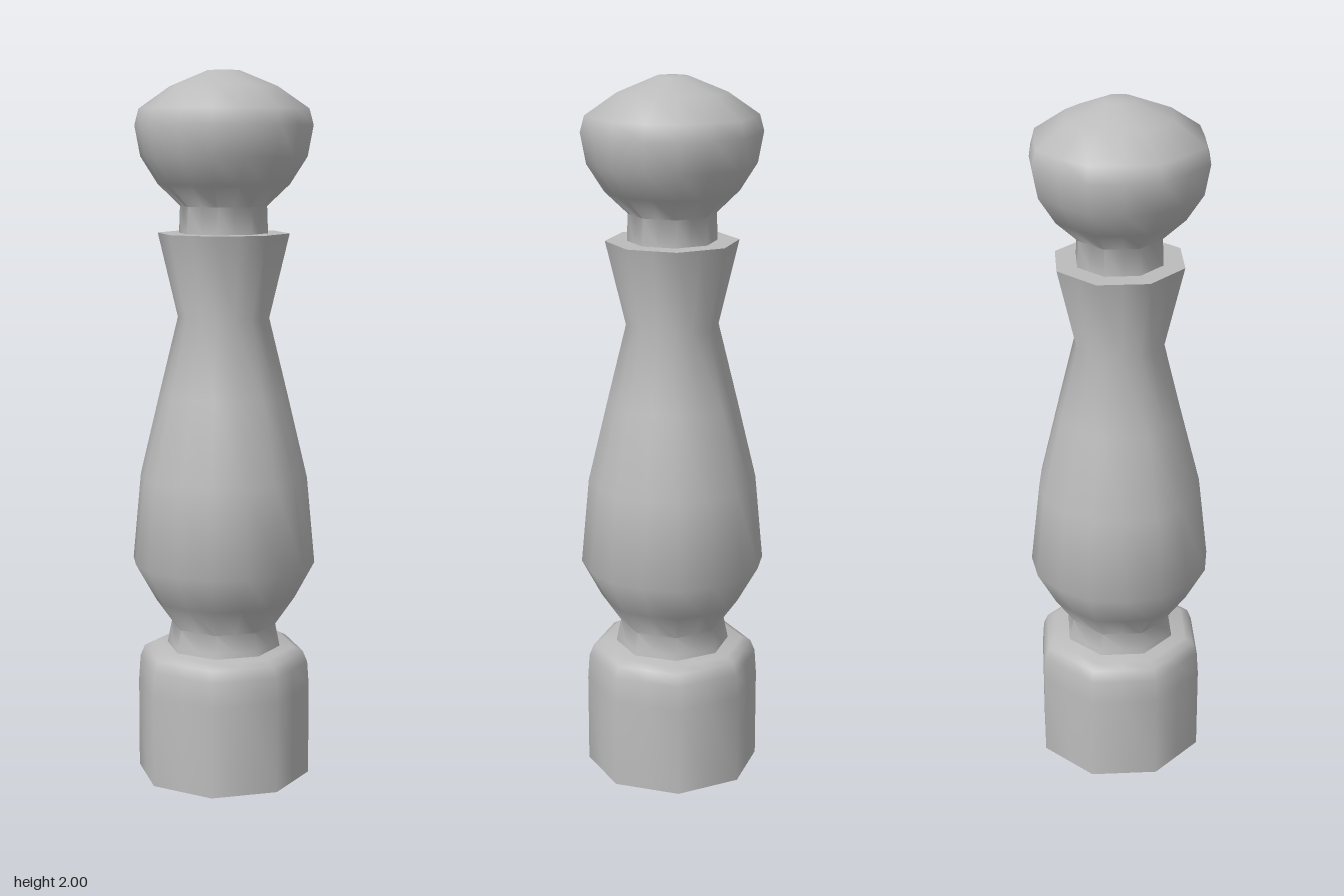
import * as THREE from 'three';
import { toCreasedNormals } from 'three/addons/utils/BufferGeometryUtils.js';

const SIDES = 16;
const OCT = Math.cos(Math.PI / 8); // in-between columns at this scale give an octagon

// Turned part from [radius, y, roundness]: roundness 0 = octagonal, 1 = sixteen-sided
function turned(name, profile, material) {
  const points = profile.map(([r, y]) => new THREE.Vector2(r, y));
  const geometry = new THREE.LatheGeometry(points, SIDES);
  const pos = geometry.attributes.position;
  for (let i = 0; i < pos.count; i++) {
    const column = Math.floor(i / profile.length);
    if (column % 2 === 0) continue;
    const round = profile[i % profile.length][2] ?? 0;
    const k = THREE.MathUtils.lerp(OCT, 1, round);
    pos.setX(i, pos.getX(i) * k);
    pos.setZ(i, pos.getZ(i) * k);
  }
  const mesh = new THREE.Mesh(toCreasedNormals(geometry, 0.95), material);
  mesh.name = name;
  return mesh;
}

export function createModel() {
  const group = new THREE.Group();
  group.name = 'baluster';
  const stone = new THREE.MeshStandardMaterial({ color: 0xbbbbbb });
  stone.name = 'grey stone';

  // Foot block with a rounded shoulder
  group.add(turned('base', [
    [0, 0], [0.248, 0], [0.248, 0.26], [0.243, 0.33], [0.23, 0.362], [0.205, 0.375], [0, 0.375],
  ], stone));

  // Bulging shaft that narrows, then flares into the collar
  group.add(turned('shaft', [
    [0.165, 0.365], [0.16, 0.39], [0.15, 0.44, 0.2], [0.205, 0.52, 0.5], [0.261, 0.625, 0.75],
    [0.238, 0.87, 0.5], [0.183, 1.1, 0.2], [0.129, 1.32], [0.185, 1.555], [0, 1.555],
  ], stone));

  // Short neck and rounded knob
  group.add(turned('finial', [
    [0.125, 1.55], [0.122, 1.63], [0.185, 1.69, 0.2], [0.233, 1.765, 0.3], [0.249, 1.85, 0.3],
    [0.237, 1.895, 0.2], [0.15, 1.955, 0.3], [0.045, 1.998, 0.3], [0, 2, 0],
  ], stone));

  return group;
}
